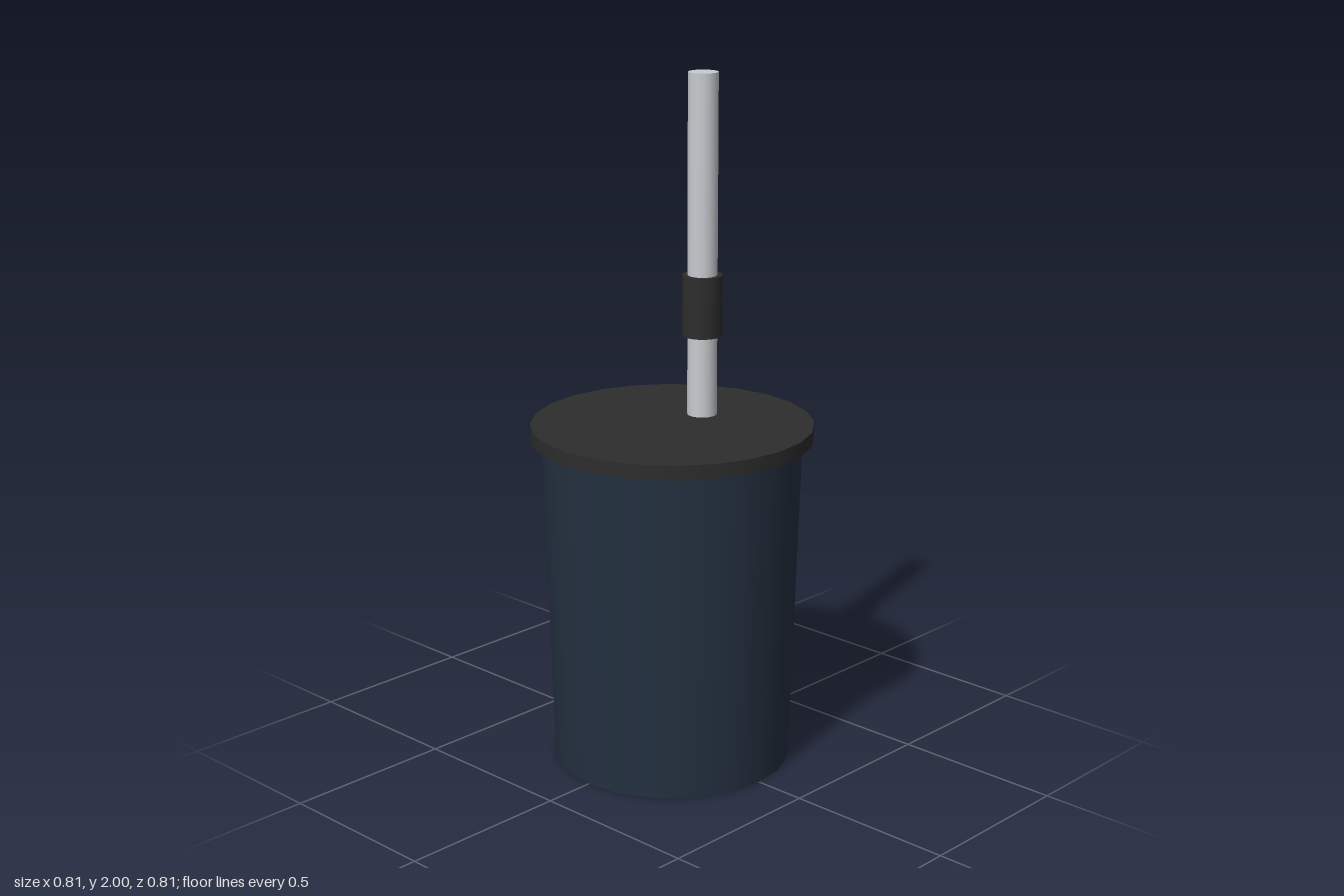
import * as THREE from 'three';

const paint = (name, color) => {
  const material = new THREE.MeshStandardMaterial({ color });
  material.name = name;
  return material;
};

export function createModel() {
  const group = new THREE.Group();
  group.name = 'lidded cup with straw';
  const navy = paint('navy', 0x243141);
  const charcoal = paint('charcoal', 0x2d2d2d);
  const paleGrey = paint('pale grey', 0xc8ccd0);

  // Upright, capped cylinder between two heights
  const addRound = (name, material, rTop, rBottom, y0, y1, sides, x = 0) => {
    const mesh = new THREE.Mesh(new THREE.CylinderGeometry(rTop, rBottom, y1 - y0, sides), material);
    mesh.name = name;
    mesh.position.set(x, (y0 + y1) / 2, 0);
    group.add(mesh);
  };

  // Tapered cup under an overhanging lid
  addRound('cup', navy, 0.375, 0.347, 0, 0.98, 24);
  addRound('lid', charcoal, 0.407, 0.407, 0.97, 1.012, 24);

  // Off-centre straw with a grip collar
  const strawX = 0.125;
  addRound('straw', paleGrey, 0.043, 0.043, 1.0, 2, 16, strawX);
  addRound('strawCollar', charcoal, 0.058, 0.058, 1.247, 1.424, 16, strawX);

  return group;
}
